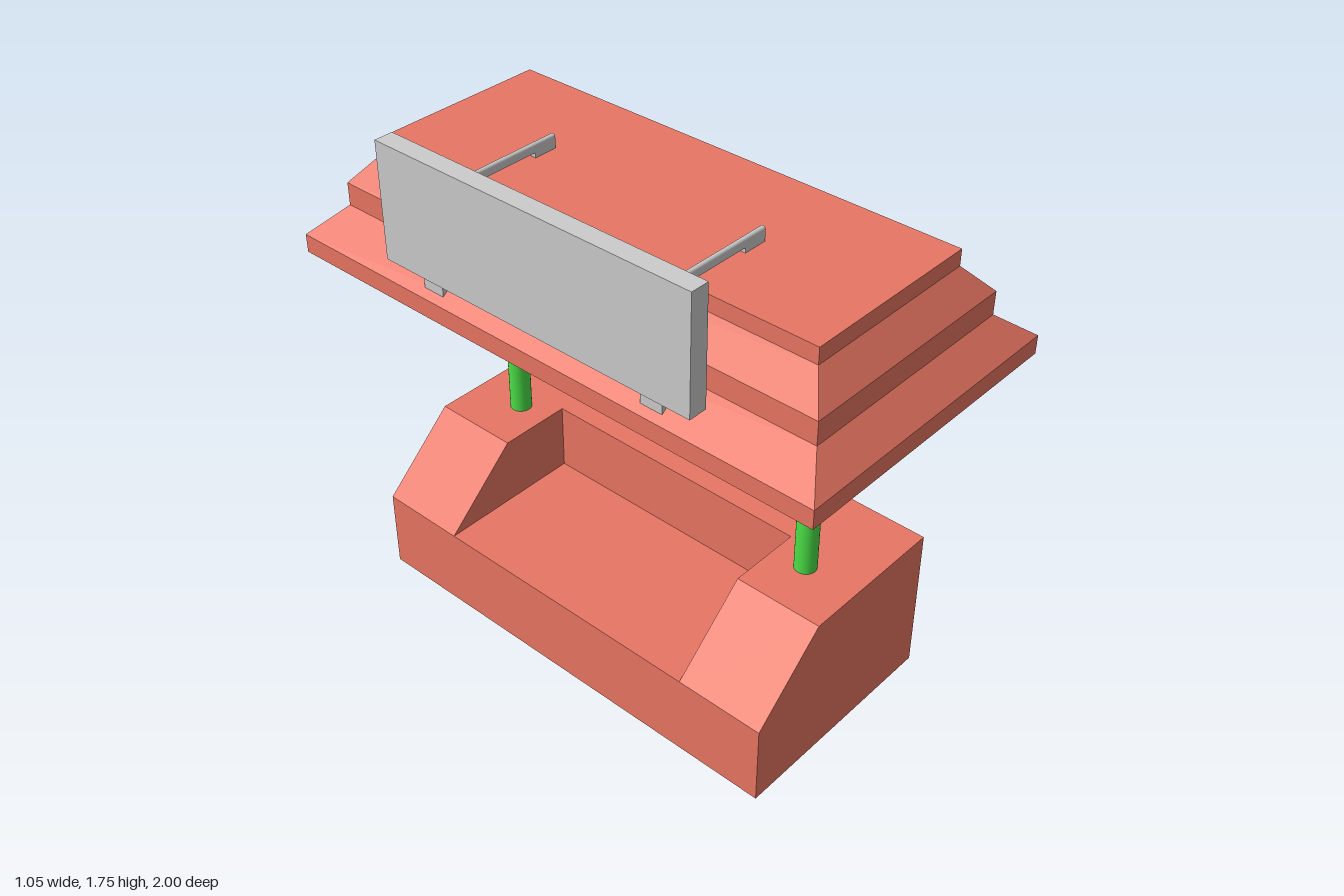
import * as THREE from 'three';

const red = new THREE.MeshStandardMaterial({ color: 0xe87563 });
const green = new THREE.MeshStandardMaterial({ color: 0x4ae046 });
const grey = new THREE.MeshStandardMaterial({ color: 0xcccccc });

function add(parent, name, geometry, material, x = 0, y = 0, z = 0) {
  const mesh = new THREE.Mesh(geometry, material);
  mesh.name = name;
  mesh.position.set(x, y, z);
  parent.add(mesh);
  return mesh;
}

// Extrudes an outline in the x-y plane from z0 to z1
function slab(points, z0, z1) {
  const shape = new THREE.Shape(points.map(([x, y]) => new THREE.Vector2(x, y)));
  return new THREE.ExtrudeGeometry(shape, { depth: z1 - z0, bevelEnabled: false }).translate(0, 0, z0);
}

// Closed solid through stacked rectangles [halfX, halfZ, y], lowest first
function steppedSolid(levels) {
  const rings = levels.map(([w, d, y]) => [[-w, y, d], [w, y, d], [w, y, -d], [-w, y, -d]]);
  const pos = [];
  const quad = (a, b, c, d) => pos.push(...a, ...b, ...c, ...a, ...c, ...d);
  for (let i = 0; i < rings.length - 1; i++) {
    for (let k = 0; k < 4; k++) {
      const n = (k + 1) % 4;
      quad(rings[i][k], rings[i][n], rings[i + 1][n], rings[i + 1][k]);
    }
  }
  quad(...rings[rings.length - 1]);
  quad(...[...rings[0]].reverse());
  const geo = new THREE.BufferGeometry();
  geo.setAttribute('position', new THREE.Float32BufferAttribute(pos, 3));
  geo.computeVertexNormals();
  return geo;
}

// Thin bar along x with a rounded top edge
function roundedBar(x0, x1, y0, y1, width) {
  const r = width / 2;
  const shape = new THREE.Shape();
  shape.moveTo(-r, y0);
  shape.lineTo(r, y0);
  shape.lineTo(r, y1 - r);
  shape.absarc(0, y1 - r, r, 0, Math.PI, false);
  shape.closePath();
  return new THREE.ExtrudeGeometry(shape, { depth: x1 - x0, bevelEnabled: false, curveSegments: 8 })
    .rotateY(Math.PI / 2).translate(x0, 0, 0);
}

export function createModel() {
  const model = new THREE.Group();
  model.name = 'marketStall';

  // Counter: two sloped end blocks around an open recess
  const counter = new THREE.Group();
  counter.name = 'counter';
  model.add(counter);
  const endProfile = [[-0.45, 0], [0.35, 0], [0.35, 0.525], [-0.185, 0.525], [-0.45, 0.285]];
  const recessProfile = [[-0.45, 0], [0.35, 0], [0.35, 0.525], [0.075, 0.525], [0.075, 0.285], [-0.45, 0.285]];
  add(counter, 'counterEndFront', slab(endProfile, 0.5, 0.81), red);
  add(counter, 'counterEndBack', slab(endProfile, -0.81, -0.5), red);
  add(counter, 'counterRecess', slab(recessProfile, -0.5, 0.5), red);

  // Posts
  for (const side of [1, -1]) {
    add(model, side > 0 ? 'postFront' : 'postBack',
      new THREE.CylinderGeometry(0.037, 0.037, 0.7, 24), green, -0.004, 0.875, side * 0.619);
  }

  // Stepped roof
  add(model, 'roof', steppedSolid([
    [0.522, 1.0, 1.222], [0.522, 1.0, 1.285], [0.405, 0.912, 1.375],
    [0.405, 0.912, 1.453], [0.318, 0.838, 1.545], [0.318, 0.838, 1.6],
  ]), red);

  // Sign board with its arms and feet
  const sign = new THREE.Group();
  sign.name = 'sign';
  model.add(sign);
  add(sign, 'signBoard', new THREE.BoxGeometry(0.065, 0.395, 1.19), grey, -0.491, 1.5575, -0.006);
  for (const side of [1, -1]) {
    const z = side * 0.404;
    add(sign, 'signArm', roundedBar(-0.455, -0.01, 1.617, 1.647, 0.018), grey, 0, 0, z);
    add(sign, 'armFoot', new THREE.BoxGeometry(0.085, 0.02, 0.018), grey, -0.0525, 1.609, z);
    add(sign, 'signFoot', new THREE.BoxGeometry(0.025, 0.08, 0.08), grey, -0.485, 1.335, side * 0.43);
  }

  return model;
}
